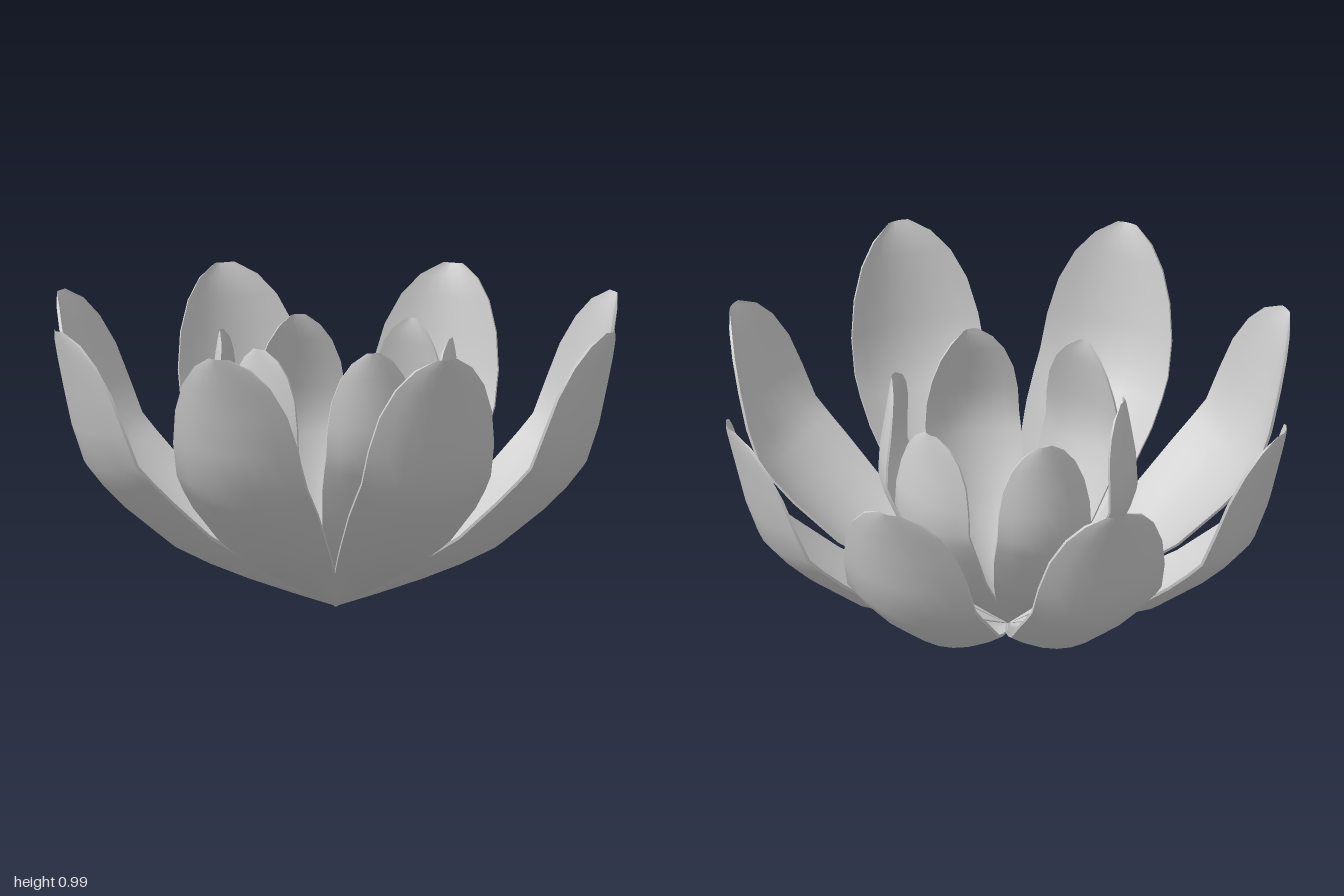
import * as THREE from 'three';
import { toCreasedNormals } from 'three/addons/utils/BufferGeometryUtils.js';

// Stations along a petal: radius, height, half width
const STATIONS = [
  [0, 0.005, 0.008], [0.15, 0.058, 0.062], [0.31, 0.118, 0.122], [0.45, 0.178, 0.165],
  [0.57, 0.24, 0.196], [0.73, 0.37, 0.225], [0.81, 0.45, 0.23], [0.87, 0.525, 0.23],
  [0.915, 0.655, 0.224], [0.945, 0.78, 0.2], [0.97, 0.88, 0.157],
  [0.988, 0.95, 0.102], [0.998, 0.995, 0.035],
];
const ACROSS = 8;
const THICKNESS = 0.016;

// A thin cupped petal pointing along +z, closed loop per station
function petalGeometry() {
  const pos = [], index = [];
  const last = STATIONS.length - 1, ring = 2 * (ACROSS + 1);
  STATIONS.forEach(([r, y, w], i) => {
    const a = STATIONS[Math.max(i - 1, 0)], b = STATIONS[Math.min(i + 1, last)];
    const len = Math.hypot(b[0] - a[0], b[1] - a[1]);
    const nz = -(b[1] - a[1]) / len, ny = (b[0] - a[0]) / len;
    // cup is deeper on the lower half, flatter towards the tip
    const depth = w * (0.42 - 0.16 * i / last);
    const thick = i === 0 || i === last ? 0 : THICKNESS;
    for (let k = 0; k < ring; k++) {
      const inside = k > ACROSS;
      const u = (inside ? ring - 1 - k : k) / ACROSS * 2 - 1;
      const lift = depth * u * u + (inside ? thick * (1 - 0.4 * u * u) : 0);
      pos.push(w * u, y + ny * lift, r + nz * lift);
    }
  });
  for (let i = 0; i < last; i++) {
    for (let k = 0; k < ring; k++) {
      const a = i * ring + k, b = i * ring + (k + 1) % ring;
      index.push(a, b, a + ring, b, b + ring, a + ring);
    }
  }
  const geo = new THREE.BufferGeometry();
  geo.setAttribute('position', new THREE.Float32BufferAttribute(pos, 3));
  geo.setIndex(index);
  return toCreasedNormals(geo, 0.8);
}

export function createModel() {
  const flower = new THREE.Group();
  flower.name = 'flower';
  const geometry = petalGeometry();
  const material = new THREE.MeshStandardMaterial({ color: 0xcccccc, side: THREE.DoubleSide });

  // A whorl of equal petals, raised by tilt and turned by twist
  function whorl(name, count, scale, tilt, twist) {
    const group = new THREE.Group();
    group.name = name + 's';
    for (let i = 0; i < count; i++) {
      const petal = new THREE.Mesh(geometry, material);
      petal.name = name;
      petal.scale.setScalar(scale);
      petal.rotation.set(-tilt, twist + i * 2 * Math.PI / count, 0, 'YXZ');
      group.add(petal);
    }
    flower.add(group);
  }

  const deg = Math.PI / 180;
  whorl('outerPetal', 8, 1, 0, -0.5 * deg);
  whorl('innerPetal', 6, 0.71, 22 * deg, -3.5 * deg);
  return flower;
}
